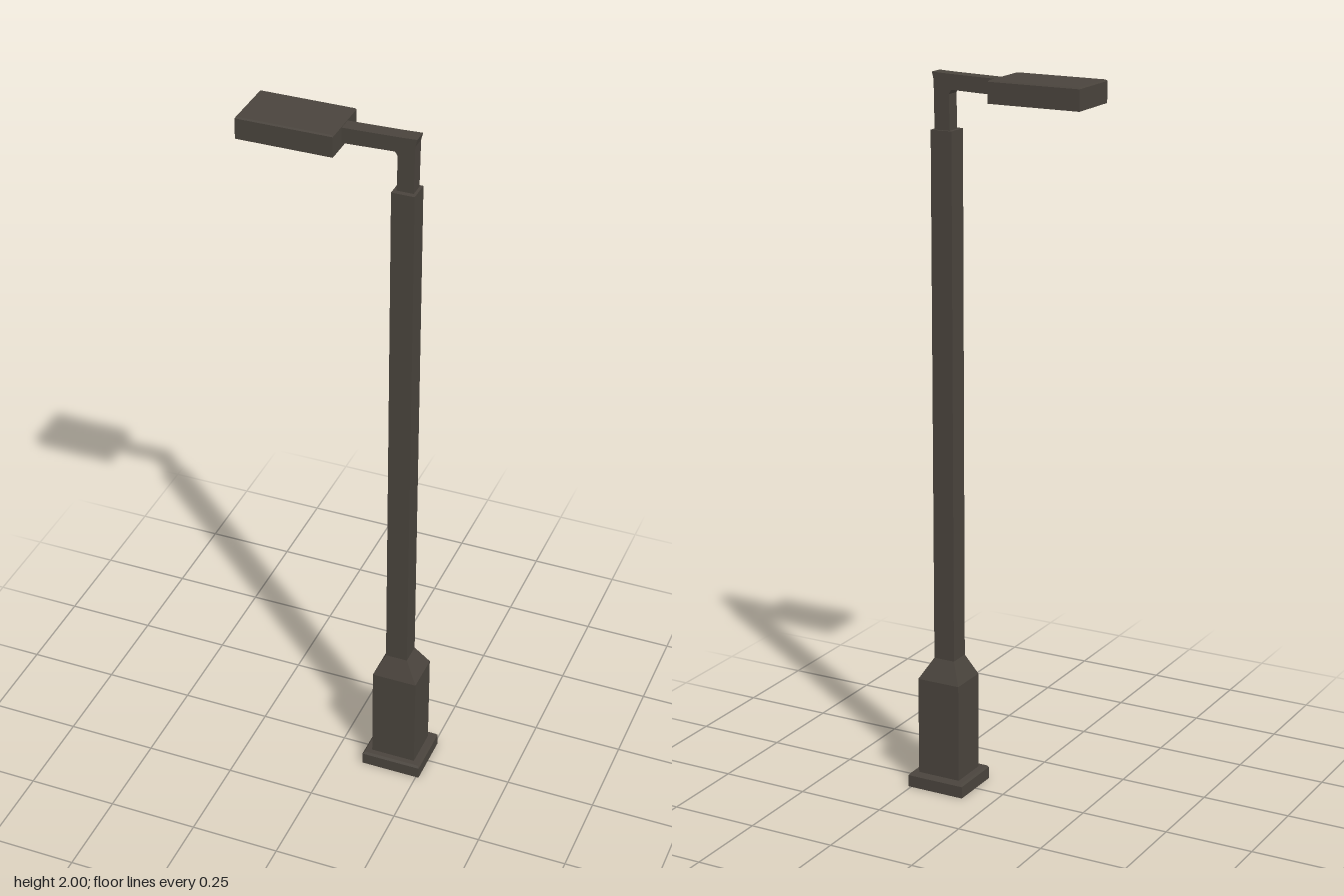
import * as THREE from 'three';

const metal = new THREE.MeshStandardMaterial({ color: 0x4a443d, flatShading: true });
metal.name = 'dark bronze metal';
const lens = new THREE.MeshStandardMaterial({ color: 0x94765f, flatShading: true });
lens.name = 'warm lamp lens';

// Joins rectangular cross-sections [y, x0, x1, z0, z1], listed from bottom to top
function loft(sections) {
  const pos = [];
  const rings = sections.map(([y, x0, x1, z0, z1]) => [
    [x0, y, z1], [x1, y, z1], [x1, y, z0], [x0, y, z0],
  ]);
  const quad = (a, b, c, d) => pos.push(...a, ...b, ...c, ...a, ...c, ...d);
  for (let i = 0; i < rings.length - 1; i++) {
    for (let k = 0; k < 4; k++) {
      const n = (k + 1) % 4;
      quad(rings[i][k], rings[i][n], rings[i + 1][n], rings[i + 1][k]);
    }
  }
  const [a, b, c, d] = rings[0];
  quad(d, c, b, a);
  quad(...rings[rings.length - 1]);
  const geo = new THREE.BufferGeometry();
  geo.setAttribute('position', new THREE.Float32BufferAttribute(pos, 3));
  geo.computeVertexNormals();
  return geo;
}

function rectangle(Type, x0, x1, y0, y1) {
  const p = new Type();
  p.moveTo(x0, y0);
  p.lineTo(x1, y0);
  p.lineTo(x1, y1);
  p.lineTo(x0, y1);
  p.closePath();
  return p;
}

export function createModel() {
  const group = new THREE.Group();
  group.name = 'streetLamp';
  const add = (name, geo, mat = metal) => {
    const mesh = new THREE.Mesh(geo, mat);
    mesh.name = name;
    group.add(mesh);
    return mesh;
  };

  // Foot plate with a slightly bevelled rim
  add('footPlate', loft([
    [0, 0.087, 0.258, -0.078, 0.078],
    [0.034, 0.087, 0.258, -0.078, 0.078],
    [0.04, 0.092, 0.253, -0.073, 0.073],
  ]));

  // Square pedestal tapering into the pole
  add('pedestal', loft([
    [0.038, 0.109, 0.236, -0.056, 0.058],
    [0.32, 0.109, 0.236, -0.056, 0.058],
    [0.38, 0.138, 0.2, -0.028, 0.033],
  ]));

  // Long square pole
  add('pole', loft([
    [0.375, 0.138, 0.2, -0.028, 0.033],
    [1.85, 0.136, 0.198, -0.028, 0.033],
  ]));

  // Neck and arm as one bent bar
  const bar = new THREE.Shape([
    [0.145, 1.84], [0.19, 1.84], [0.192, 1.98], [0.197, 2], [0.15, 1.998],
    [-0.01, 1.994], [-0.01, 1.952], [0.14, 1.957], [0.147, 1.945],
  ].map(([x, y]) => new THREE.Vector2(x, y)));
  add('neckAndArm', new THREE.ExtrudeGeometry(bar, { depth: 0.04, bevelEnabled: false })
    .translate(0, 0, -0.021));

  // Lamp head: solid lid over an open frame
  add('headLid', loft([
    [1.965, -0.26, 0, -0.08, 0.076],
    [1.996, -0.26, 0, -0.08, 0.076],
    [2, -0.257, -0.003, -0.077, 0.073],
  ]));
  const rim = rectangle(THREE.Shape, -0.26, 0, -0.08, 0.076);
  rim.holes.push(rectangle(THREE.Path, -0.24, -0.02, -0.062, 0.058));
  add('headFrame', new THREE.ExtrudeGeometry(rim, { depth: 0.025, bevelEnabled: false })
    .rotateX(Math.PI / 2).translate(0, 1.965, 0));

  // Lens recessed inside the frame
  add('lens', new THREE.BoxGeometry(0.22, 0.008, 0.12), lens).position.set(-0.13, 1.959, -0.002);

  return group;
}
